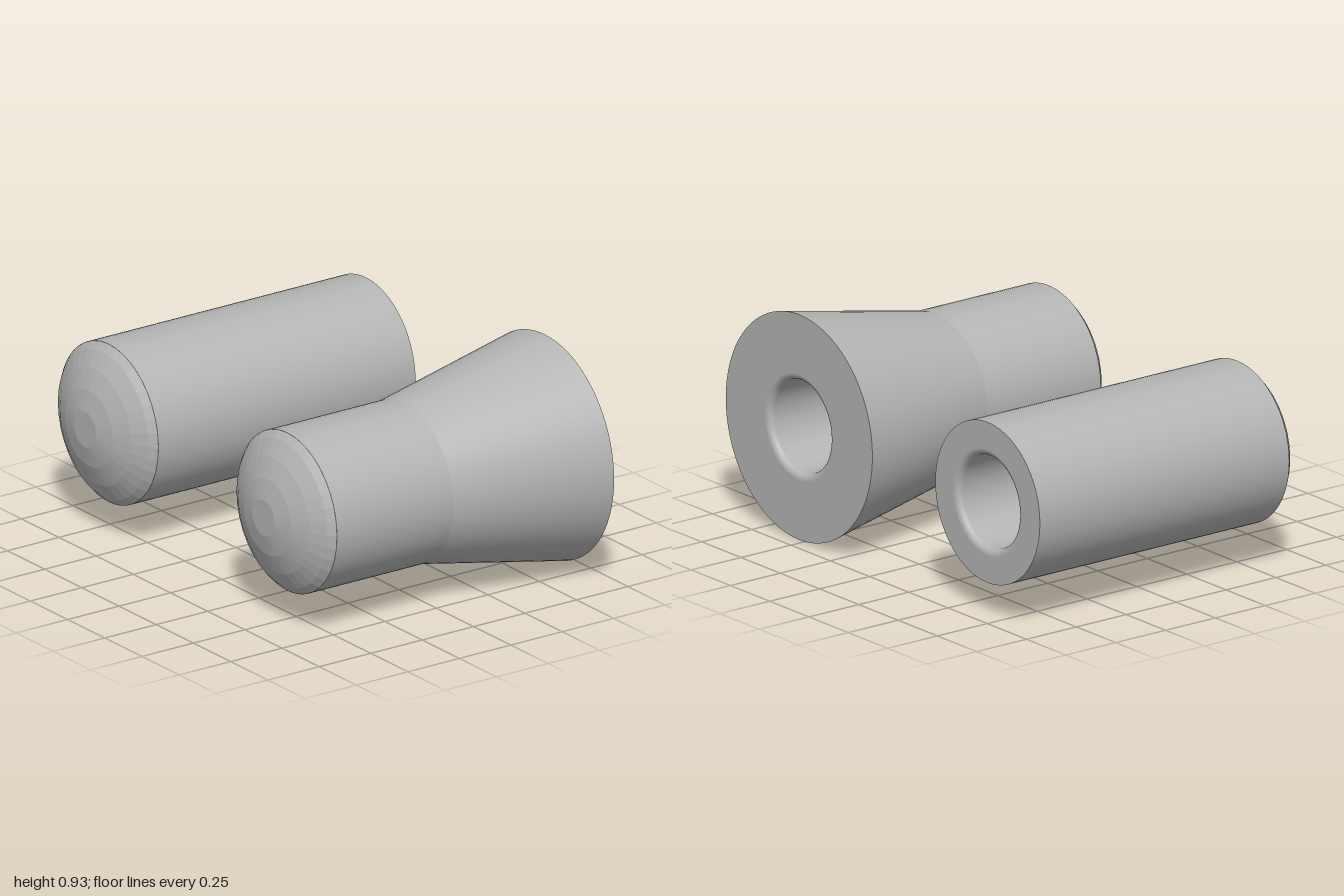
import * as THREE from 'three';

const FRONT = 0.567, BACK = -0.683, RADIUS = 0.333;
const BORE = 0.19, LIP = 0.028, BORE_END = 0.3;

export function createModel() {
  const grey = new THREE.MeshStandardMaterial({ color: 0xb4b4b4 });
  grey.name = 'grey';

  // Surface of revolution about z from [radius, z] points
  const turned = (name, points, segments = 72, faceted = false) => {
    let geo = new THREE.LatheGeometry(points.map(([r, z]) => new THREE.Vector2(r, z)), segments);
    geo.rotateX(Math.PI / 2);
    if (faceted) {
      geo = geo.toNonIndexed();
      geo.computeVertexNormals();
    }
    const mesh = new THREE.Mesh(geo, grey);
    mesh.name = name;
    return mesh;
  };

  // Spherical nose with a small flat tip
  const sphereR = 0.54, sphereZ = 0.683 - Math.sqrt(sphereR ** 2 - 0.075 ** 2);
  const nosePoints = [[RADIUS, FRONT]];
  for (const r of [0.305, 0.24, 0.16, 0.075]) nosePoints.push([r, sphereZ + Math.sqrt(sphereR ** 2 - r * r)]);
  nosePoints.push([0, 0.683]);

  // Bore wall running out into a rounded lip
  const borePoints = [[BORE, BORE_END]];
  for (let i = 0; i <= 8; i++) {
    const a = (i / 8) * Math.PI / 2;
    borePoints.push([BORE + LIP * (1 - Math.cos(a)), BACK + LIP * (1 - Math.sin(a))]);
  }

  const makePeg = (name, x, backRadius) => {
    const peg = new THREE.Group();
    peg.name = name;
    const flared = backRadius > RADIUS;
    peg.add(
      turned('nose', nosePoints, 36, true),
      turned('shaft', [[RADIUS, flared ? 0 : BACK], [RADIUS, FRONT]]),
      turned('shoulder', [[RADIUS, FRONT], [RADIUS - 0.01, FRONT]]),
      turned('backFace', [[BORE + LIP, BACK], [backRadius, BACK]]),
      turned('bore', borePoints),
      turned('boreEnd', [[0, BORE_END], [BORE, BORE_END]])
    );
    if (flared) peg.add(turned('flare', [[backRadius, BACK], [RADIUS, 0]]));
    peg.position.set(x, 0.467, 0);
    return peg;
  };

  const model = new THREE.Group();
  model.name = 'pegPair';
  model.add(makePeg('straightPeg', -0.667, RADIUS), makePeg('flaredPeg', 0.533, 0.467));
  return model;
}
